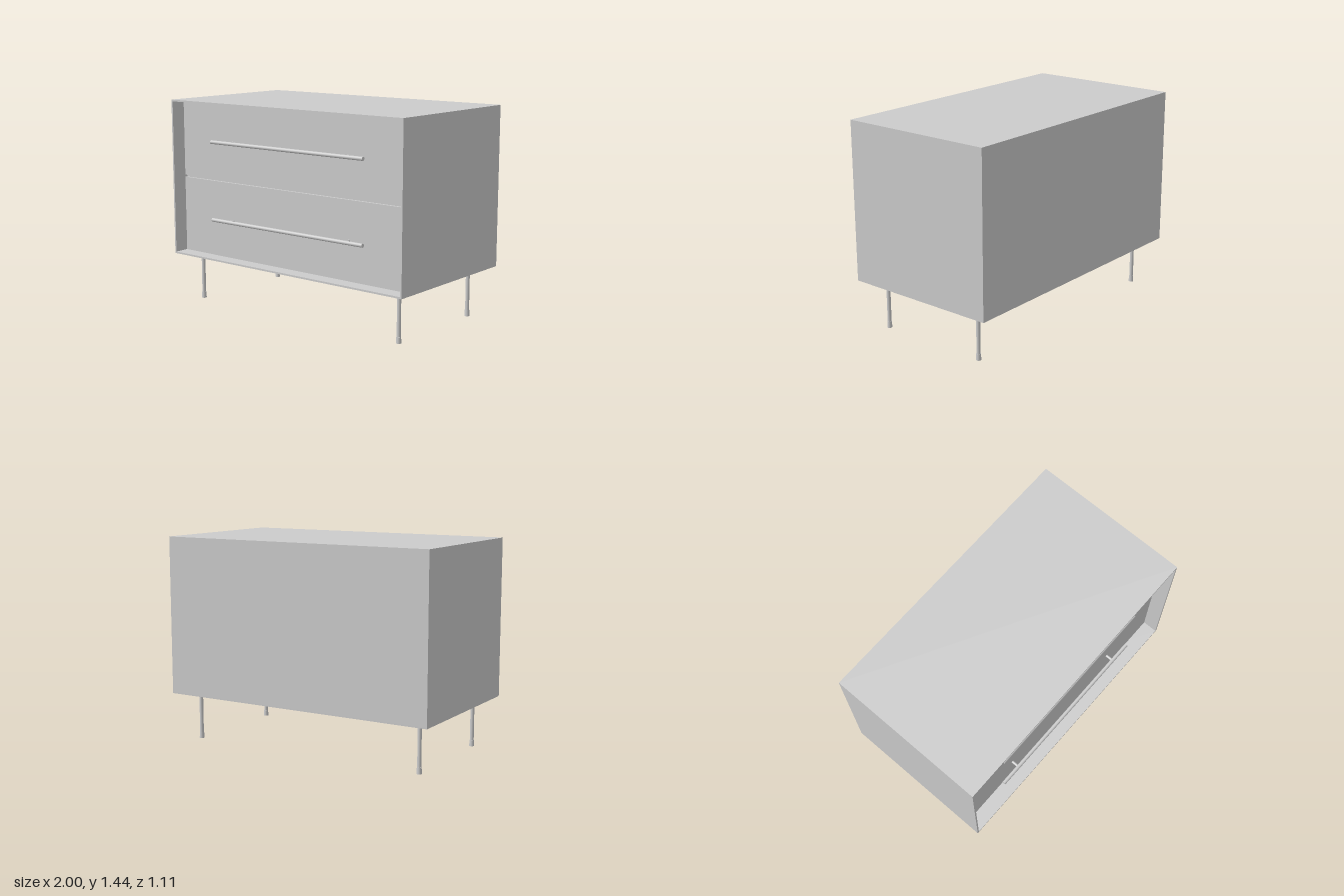
import * as THREE from 'three';

const material = new THREE.MeshStandardMaterial({ color: 0xcccccc });

function add(parent, name, geometry, x, y, z) {
  const mesh = new THREE.Mesh(geometry, material);
  mesh.name = name;
  mesh.position.set(x, y, z);
  parent.add(mesh);
  return mesh;
}

export function createModel() {
  const model = new THREE.Group();
  model.name = 'drawerCabinet';

  const bottom = 0.34, top = 1.444, depth = 1.11, wall = 0.012;
  const height = top - bottom, midY = (top + bottom) / 2;
  const innerWidth = 2 - 2 * wall;
  const frontZ = 0.45; // drawer fronts sit back inside the case

  // Case: four walls as one open frame, closed by a back panel
  const outline = new THREE.Shape([
    new THREE.Vector2(-1, bottom), new THREE.Vector2(1, bottom),
    new THREE.Vector2(1, top), new THREE.Vector2(-1, top),
  ]);
  const w = innerWidth / 2;
  outline.holes.push(new THREE.Path([
    new THREE.Vector2(-w, bottom + wall), new THREE.Vector2(-w, top - wall),
    new THREE.Vector2(w, top - wall), new THREE.Vector2(w, bottom + wall),
  ]));
  const frame = new THREE.ExtrudeGeometry(outline, { depth, bevelEnabled: false });
  add(model, 'case', frame, 0, 0, -depth / 2);
  add(model, 'backPanel', new THREE.BoxGeometry(innerWidth, height - 2 * wall, wall),
    0, midY, -depth / 2 + wall / 2);

  // Rail closing the gap between the drawers
  const gap = 0.016;
  add(model, 'drawerDivider', new THREE.BoxGeometry(innerWidth, gap, 0.03), 0, midY, frontZ - 0.035);

  // Drawers with bar handles on two posts
  const drawerHeight = (height - 2 * wall - gap) / 2;
  const handleZ = 0.505, handleRadius = 0.013;
  for (const side of [-1, 1]) {
    const drawer = new THREE.Group();
    drawer.name = side > 0 ? 'upperDrawer' : 'lowerDrawer';
    drawer.position.y = midY + side * (drawerHeight + gap) / 2;
    model.add(drawer);

    add(drawer, 'drawerFront', new THREE.BoxGeometry(innerWidth, drawerHeight, 0.04), 0, 0, frontZ - 0.02);
    const bar = add(drawer, 'handleBar',
      new THREE.CylinderGeometry(handleRadius, handleRadius, 1.325, 24), 0, 0, handleZ);
    bar.rotation.z = Math.PI / 2;
    for (const x of [-0.51, 0.51]) {
      const length = handleZ - frontZ;
      const post = add(drawer, 'handlePost',
        new THREE.CylinderGeometry(0.009, 0.009, length, 16), x, 0, frontZ + length / 2);
      post.rotation.x = Math.PI / 2;
    }
  }

  // Slim legs with thicker feet
  const footHeight = 0.043;
  for (const x of [-0.872, 0.872]) {
    for (const z of [-0.4, 0.4]) {
      const leg = new THREE.Group();
      leg.name = (z > 0 ? 'front' : 'back') + (x > 0 ? 'Left' : 'Right') + 'Leg';
      leg.position.set(x, 0, z);
      model.add(leg);
      add(leg, 'legRod', new THREE.CylinderGeometry(0.0135, 0.0135, bottom - footHeight, 24),
        0, (bottom + footHeight) / 2, 0);
      add(leg, 'foot', new THREE.CylinderGeometry(0.0155, 0.0175, footHeight, 24), 0, footHeight / 2, 0);
    }
  }
  return model;
}
